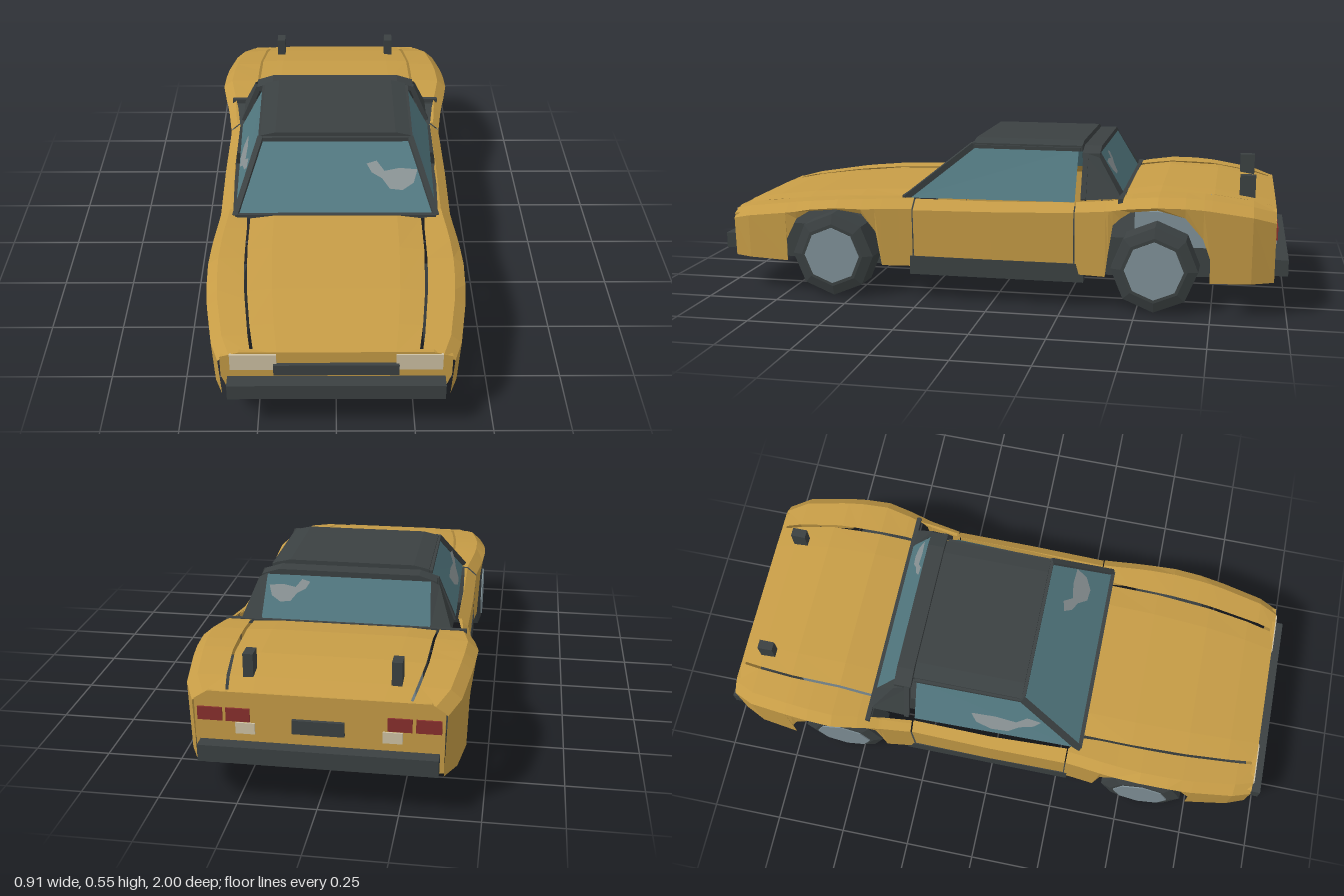
import * as THREE from 'three';

const mat = (name, color) => new THREE.MeshStandardMaterial({ name, color, side: THREE.DoubleSide, flatShading: true });

export function createModel() {
  const car = new THREE.Group();
  car.name = 'car';
  const paint = mat('ochre paint', 0xc69c46), dark = mat('dark trim', 0x3b4142), glass = mat('teal glass', 0x527880),
    glare = mat('glass highlight', 0x8a9395), metal = mat('grey metal', 0x7f9097), cream = mat('cream lamp', 0xcfc2a4),
    red = mat('red lamp', 0x88302d), rust = mat('brown underside', 0x64564a);

  const add = (name, geo, material, parent = car) => {
    const m = new THREE.Mesh(geo, material);
    m.name = name;
    parent.add(m);
    return m;
  };
  // Box given by its min and max corners
  const box = (name, material, [x0, x1], [y0, y1], [z0, z1], parent) =>
    add(name, new THREE.BoxGeometry(x1 - x0, y1 - y0, z1 - z0)
      .translate((x0 + x1) / 2, (y0 + y1) / 2, (z0 + z1) / 2), material, parent);
  // Faceted skin between successive rows of points
  const skin = (name, material, rows, parent) => {
    const p = [];
    for (let i = 0; i + 1 < rows.length; i++)
      for (let j = 0; j + 1 < rows[i].length; j++) {
        const a = rows[i][j], b = rows[i][j + 1], c = rows[i + 1][j + 1], d = rows[i + 1][j];
        p.push(...a, ...b, ...c, ...a, ...c, ...d);
      }
    const g = new THREE.BufferGeometry();
    g.setAttribute('position', new THREE.Float32BufferAttribute(p, 3));
    g.computeVertexNormals();
    return add(name, g, material, parent);
  };
  // Square bar between two points
  const bar = (name, material, a, b, w, parent) => {
    const A = new THREE.Vector3(...a), B = new THREE.Vector3(...b);
    const m = add(name, new THREE.BoxGeometry(w, w, A.distanceTo(B)), material, parent);
    m.position.copy(A).add(B).multiplyScalar(0.5);
    m.lookAt(B);
    return m;
  };
  const shape = pts => new THREE.Shape(pts.map(q => new THREE.Vector2(...q)));
  const extrude = (pts, depth) => new THREE.ExtrudeGeometry(shape(pts), { depth, bevelEnabled: false });

  // Chassis: side profile extruded across the car
  add('chassis', extrude([[0.93, 0.1], [0.93, 0.22], [-0.92, 0.22], [-0.92, 0.1], [-0.5, 0.085], [0, 0.077], [0.6, 0.085]], 0.5)
    .translate(0, 0, -0.25).rotateY(-Math.PI / 2), dark);
  box('engineBlock', metal, [-0.27, 0.27], [0.2, 0.32], [-0.74, -0.48]);
  // Stain under the tail
  skin('undersideStain', rust, [[[0.1, 0.083, -0.52], [-0.24, 0.083, -0.52]], [[0.16, 0.086, -0.6], [-0.245, 0.086, -0.6]],
    [[0.12, 0.097, -0.9], [-0.24, 0.097, -0.9]]]);

  // Hood and rear deck: rows of [z, half width, edge height, crown height]
  const lid = (name, rows) => skin(name, paint, rows.map(([z, w, e, c]) =>
    [[-w, e, z], [-w * 0.72, c, z], [w * 0.72, c, z], [w, e, z]]));
  lid('hood', [[0.955, 0.255, 0.29, 0.295], [0.85, 0.272, 0.31, 0.316], [0.7, 0.288, 0.328, 0.336],
    [0.5, 0.298, 0.343, 0.352], [0.325, 0.298, 0.348, 0.36]]);
  lid('rearDeck', [[-0.445, 0.311, 0.383, 0.388], [-0.57, 0.307, 0.401, 0.406], [-0.75, 0.303, 0.396, 0.4],
    [-0.88, 0.287, 0.376, 0.379], [-0.955, 0.274, 0.357, 0.36]]);

  // Nose and tail panels
  add('nosePanel', extrude([[-0.335, 0.13], [0.335, 0.13], [0.36, 0.2], [0.36, 0.275], [0.3, 0.293], [-0.3, 0.293], [-0.36, 0.275], [-0.36, 0.2]], 0.015)
    .translate(0, 0, 0.94), paint);
  add('tailPanel', extrude([[-0.38, 0.13], [0.38, 0.13], [0.382, 0.33], [0.34, 0.357], [-0.34, 0.357], [-0.382, 0.33]], 0.015)
    .translate(0, 0, -0.955), paint);
  box('frontBumper', dark, [-0.34, 0.34], [0.14, 0.195], [0.955, 1]);
  box('rearBumper', dark, [-0.367, 0.367], [0.14, 0.195], [-1, -0.955]);
  box('grille', dark, [-0.195, 0.195], [0.21, 0.25], [0.95, 0.968]);
  box('rearPlate', dark, [-0.08, 0.08], [0.235, 0.28], [-0.967, -0.95]);

  // Soft-edged roof and the hoop behind it
  const roofSection = (w, e, c, b) => [[-w, b], [w, b], [w, e], [w * 0.8, c], [-w * 0.8, c], [-w, e]];
  add('roof', extrude(roofSection(0.268, 0.542, 0.554, 0.522), 0.385).translate(0, 0, -0.295), dark);
  add('rollHoop', extrude(roofSection(0.3, 0.522, 0.541, 0.505), 0.06).translate(0, 0, -0.36), dark);

  // Windscreen, rear window and their trim
  skin('windscreen', glass, [[[-0.345, 0.352, 0.32], [0.345, 0.352, 0.32]], [[-0.266, 0.532, 0.09], [0.266, 0.532, 0.09]]]);
  bar('cowlTrim', dark, [-0.35, 0.355, 0.32], [0.35, 0.355, 0.32], 0.014);
  bar('headerTrim', dark, [-0.27, 0.53, 0.092], [0.27, 0.53, 0.092], 0.018);
  skin('rearWindow', glass, [[[-0.28, 0.525, -0.358], [0.28, 0.525, -0.358]], [[-0.29, 0.388, -0.44], [0.29, 0.388, -0.44]]]);
  box('deckTrim', dark, [-0.41, 0.41], [0.373, 0.39], [-0.452, -0.436]);

  // Pale highlights painted on the glass; each maps a flat outline onto its pane
  const highlight = (name, pts, map) => {
    const g = new THREE.ShapeGeometry(shape(pts)), p = g.attributes.position;
    for (let i = 0; i < p.count; i++) p.setXYZ(i, ...map(p.getX(i), p.getY(i)));
    g.computeVertexNormals();
    add(name, g, glare);
  };
  const blob = [[0, 0.9], [0.2, 1], [0.35, 0.65], [0.65, 0.75], [1, 0.7], [0.92, 0.25], [0.7, 0], [0.45, 0.05], [0.3, 0.4], [0.1, 0.6]];
  highlight('windscreenHighlight', blob, (u, v) => {
    const y = 0.41 + 0.068 * v;
    return [0.11 + 0.18 * u, y + 0.003, 0.32 - (y - 0.352) * 1.278 + 0.003];
  });
  highlight('rearHighlight', blob, (u, v) => {
    const y = 0.44 + 0.07 * v;
    return [0.13 + 0.14 * u, y + 0.002, -0.44 + (y - 0.388) * 0.599 - 0.003];
  });
  highlight('sideHighlight', blob, (u, v) => {
    const y = 0.385 + 0.08 * v;
    return [-0.36 + (y - 0.36) * 0.5 - 0.004, y, 0.17 - 0.25 * u];
  });

  // Everything on one side, built on +x and mirrored
  const side = new THREE.Group();
  side.name = 'leftSide';
  // Wing rows: [z, lower edge, inner x, inner y, outer x, top y]
  const wing = (name, rows) => skin(name, paint, rows.map(([z, yb, xi, yi, xo, yt]) =>
    [[xi, yi, z], [xo - 0.035, yt, z], [xo, Math.max(yt - 0.03, yb + 0.006), z], [xo - 0.008, yb, z]]), side);
  wing('frontFender', [
    [0.955, 0.12, 0.265, 0.291, 0.367, 0.288], [0.89, 0.12, 0.276, 0.305, 0.392, 0.304], [0.74, 0.12, 0.293, 0.325, 0.416, 0.325],
    [0.74, 0.2, 0.293, 0.325, 0.416, 0.325], [0.7, 0.275, 0.297, 0.33, 0.42, 0.331], [0.65, 0.305, 0.301, 0.335, 0.424, 0.336],
    [0.55, 0.315, 0.305, 0.343, 0.427, 0.345], [0.46, 0.303, 0.306, 0.346, 0.423, 0.35], [0.41, 0.24, 0.306, 0.348, 0.419, 0.352],
    [0.39, 0.12, 0.306, 0.349, 0.417, 0.353], [0.325, 0.12, 0.31, 0.351, 0.41, 0.355], [0.28, 0.12, 0.36, 0.355, 0.406, 0.356]]);
  wing('door', [[0.276, 0.155, 0.36, 0.353, 0.406, 0.351], [0, 0.155, 0.372, 0.356, 0.409, 0.356], [-0.285, 0.155, 0.372, 0.364, 0.406, 0.364]]);
  wing('rearFender', [
    [-0.29, 0.12, 0.385, 0.367, 0.408, 0.366], [-0.395, 0.12, 0.395, 0.378, 0.422, 0.377], [-0.405, 0.2, 0.395, 0.38, 0.424, 0.378],
    [-0.42, 0.3, 0.395, 0.383, 0.427, 0.381], [-0.445, 0.325, 0.395, 0.386, 0.432, 0.386], [-0.445, 0.325, 0.32, 0.386, 0.432, 0.386],
    [-0.48, 0.35, 0.32, 0.392, 0.44, 0.392], [-0.57, 0.363, 0.316, 0.403, 0.456, 0.402], [-0.66, 0.34, 0.315, 0.402, 0.452, 0.402],
    [-0.72, 0.27, 0.313, 0.4, 0.446, 0.398], [-0.745, 0.2, 0.312, 0.397, 0.443, 0.395], [-0.745, 0.12, 0.312, 0.397, 0.443, 0.395],
    [-0.88, 0.12, 0.297, 0.378, 0.424, 0.375], [-0.955, 0.12, 0.283, 0.358, 0.388, 0.352]]);
  box('sill', dark, [0.362, 0.402], [0.092, 0.157], [-0.32, 0.29], side);

  // Side glass, pillars and sloping buttress
  skin('sideWindow', glass, [[[0.35, 0.354, 0.3], [0.362, 0.362, -0.283]], [[0.268, 0.532, 0.09], [0.272, 0.532, -0.283]]], side);
  bar('windscreenPillar', dark, [0.35, 0.352, 0.318], [0.266, 0.535, 0.09], 0.02, side);
  bar('doorPillar', dark, [0.358, 0.37, -0.312], [0.295, 0.52, -0.312], 0.018, side);
  bar('windowRail', dark, [0.27, 0.53, 0.09], [0.273, 0.53, -0.29], 0.012, side);
  skin('buttress', dark, [[[0.3, 0.525, -0.302], [0.36, 0.37, -0.312]], [[0.31, 0.51, -0.36], [0.36, 0.38, -0.442]],
    [[0.28, 0.525, -0.36], [0.288, 0.385, -0.444]]], side);

  // Octagonal wheels with a chamfered outer edge and flat hub
  for (const [name, z] of [['frontWheel', 0.57], ['rearWheel', -0.56]]) {
    const wheel = new THREE.Group();
    wheel.name = name;
    const disc = (part, m, r0, r1, x0, x1) => add(part, new THREE.CylinderGeometry(r1, r0, x1 - x0, 8)
      .translate(0, (x0 + x1) / 2, 0).rotateZ(-Math.PI / 2), m, wheel);
    disc('tyre', dark, 0.149, 0.147, 0.305, 0.408);
    disc('tyreWall', dark, 0.147, 0.112, 0.408, 0.42);
    disc('hub', metal, 0.1, 0.1, 0.416, 0.424);
    wheel.position.set(0, 0.149, z);
    side.add(wheel);
  }

  // Lamps and deck posts
  box('headlamp', cream, [0.185, 0.33], [0.226, 0.286], [0.952, 0.96], side);
  box('outerTailLamp', red, [0.295, 0.372], [0.262, 0.305], [-0.961, -0.953], side);
  box('innerTailLamp', red, [0.21, 0.284], [0.262, 0.305], [-0.961, -0.953], side);
  box('reversingLamp', cream, [0.195, 0.255], [0.222, 0.258], [-0.961, -0.953], side);
  box('deckPost', dark, [0.212, 0.244], [0.37, 0.453], [-0.885, -0.832], side);

  const other = side.clone();
  other.name = 'rightSide';
  other.scale.x = -1;
  car.add(side, other);
  return car;
}
